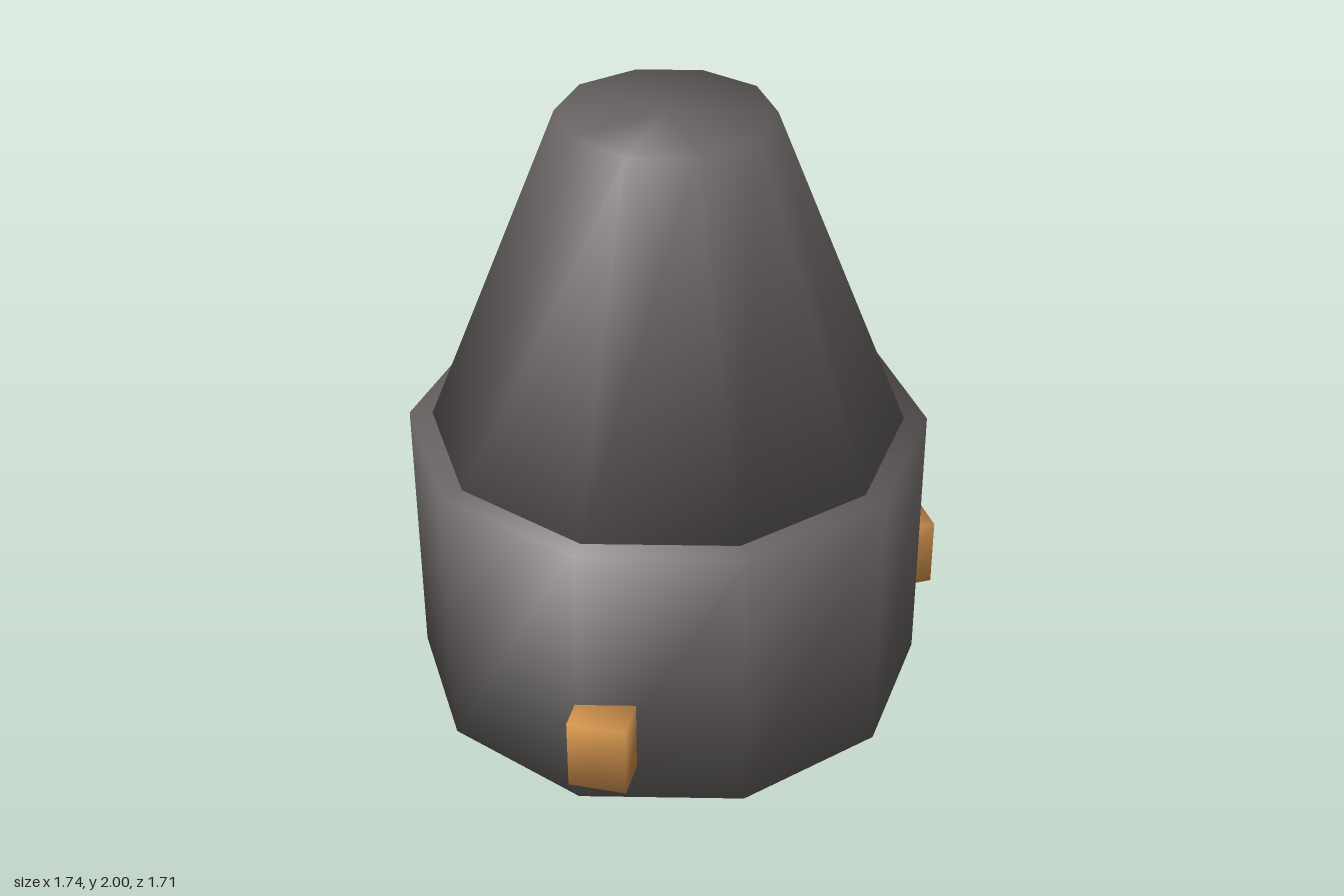
import * as THREE from 'three';

const SIDES = 10;
const AXIS_X = -0.067;

// Closed ten-sided frustum with soft normals shared between walls and caps.
// topTilt and bottomTilt are the elevations of the rim normals, in degrees.
function softFrustum(rTop, rBottom, height, topTilt, bottomTilt) {
  const geo = new THREE.CylinderGeometry(rTop, rBottom, height, SIDES);
  const pos = geo.attributes.position;
  for (let i = 0; i < pos.count; i++) {
    const upper = pos.getY(i) > 0;
    const r = upper ? rTop : rBottom;
    const tilt = THREE.MathUtils.degToRad(upper ? topTilt : bottomTilt);
    const c = Math.cos(tilt) / r;
    geo.attributes.normal.setXYZ(i, pos.getX(i) * c, Math.sin(tilt), pos.getZ(i) * c);
  }
  return geo;
}

// Box whose corner normals point along the diagonals.
function softBox(w, h, d) {
  const geo = new THREE.BoxGeometry(w, h, d);
  const pos = geo.attributes.position;
  const k = 1 / Math.sqrt(3);
  for (let i = 0; i < pos.count; i++) {
    geo.attributes.normal.setXYZ(
      i,
      Math.sign(pos.getX(i)) * k,
      Math.sign(pos.getY(i)) * k,
      Math.sign(pos.getZ(i)) * k
    );
  }
  return geo;
}

export function createModel() {
  const darkGrey = new THREE.MeshStandardMaterial({ color: 0x686362 });
  darkGrey.name = 'darkGrey';
  const orange = new THREE.MeshStandardMaterial({ color: 0xd6964e });
  orange.name = 'orange';

  const model = new THREE.Group();
  model.name = 'taperedCanister';

  // Straight drum at the bottom
  const drum = new THREE.Mesh(softFrustum(0.845, 0.845, 0.925, 40, -40), darkGrey);
  drum.name = 'drum';
  drum.position.set(AXIS_X, 0.4625, 0);
  model.add(drum);

  // Tapered upper body
  const cone = new THREE.Mesh(softFrustum(0.338, 0.77, 1.075, 51.6, -29), darkGrey);
  cone.name = 'taperedTop';
  cone.position.set(AXIS_X, 1.4625, 0);
  model.add(cone);

  // Three lugs set evenly around the drum, sunk into its wall
  const lugGeo = softBox(0.235, 0.24, 0.185);
  lugGeo.translate(0.8175, 0, 0);
  for (let i = 0; i < 3; i++) {
    const lug = new THREE.Mesh(lugGeo, orange);
    lug.name = 'lug' + (i + 1);
    lug.position.set(AXIS_X, 0.25, 0);
    lug.rotation.y = (i * Math.PI * 2) / 3;
    model.add(lug);
  }

  return model;
}
